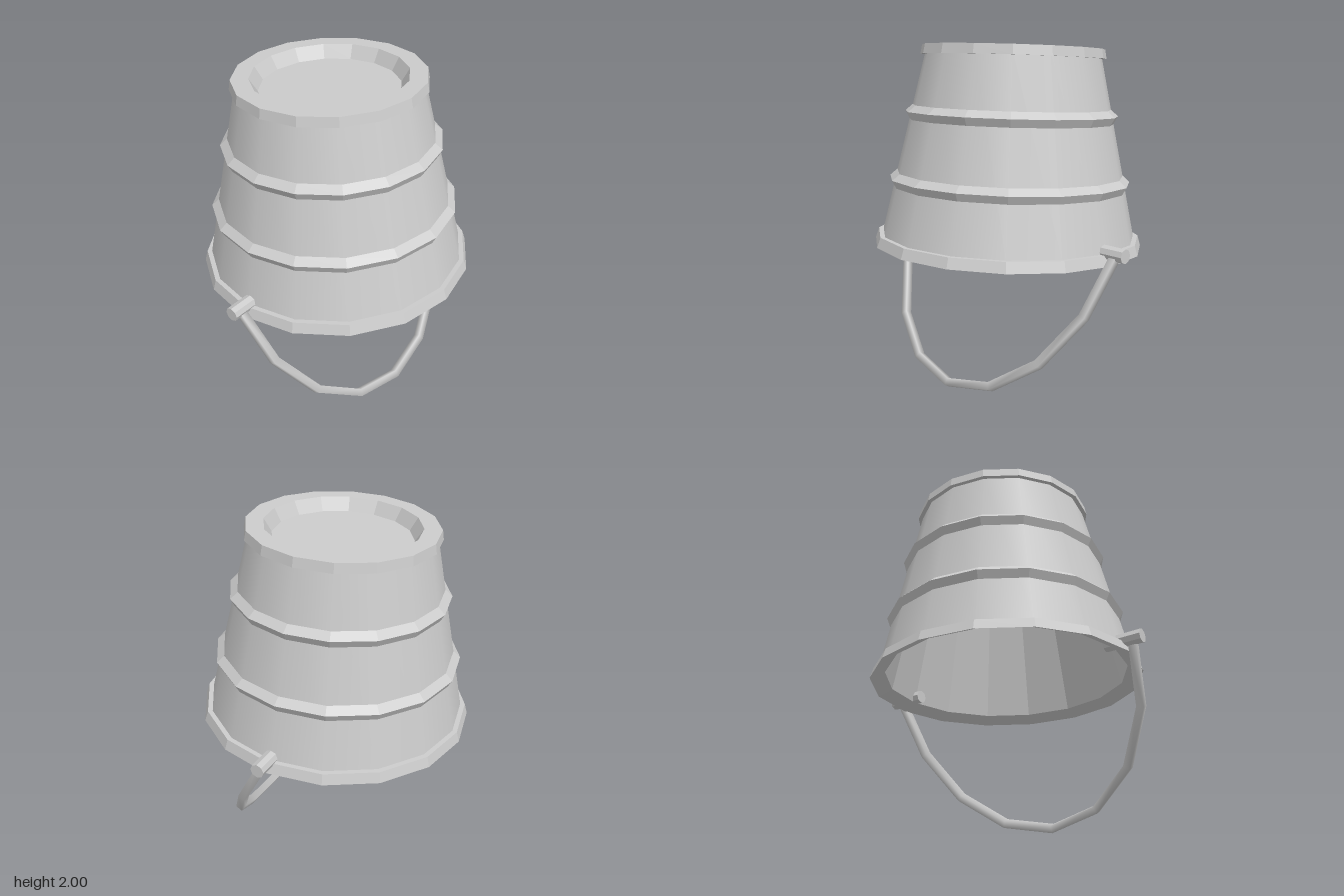
import * as THREE from 'three';
import { mergeVertices } from 'three/addons/utils/BufferGeometryUtils.js';

const SIDES = 16;
const smooth = new THREE.MeshStandardMaterial({ color: 0xcccccc });
const flat = new THREE.MeshStandardMaterial({ color: 0xcccccc, flatShading: true });

// Turned part from [radius, height] pairs: upward runs face out, downward runs face in
function turned(name, profile, faceted = true) {
  let geometry = new THREE.LatheGeometry(profile.map(([r, h]) => new THREE.Vector2(r, h)), SIDES);
  if (faceted) {
    geometry = geometry.toNonIndexed();
    geometry.computeVertexNormals();
  }
  const mesh = new THREE.Mesh(geometry, faceted ? flat : smooth);
  mesh.name = name;
  return mesh;
}

// Half ellipse hanging forward from the pegs, stepped evenly by angle
class HandleCurve extends THREE.Curve {
  getPoint(t, target = new THREE.Vector3()) {
    const a = Math.PI * t;
    return target.set(0.838 * Math.cos(a), 0.882 - 0.85 * Math.sin(a), 0.49 * Math.sin(a));
  }
  getUtoTmapping(u) {
    return u;
  }
}

// Square bar swept along the handle curve, with softened normals
function handleGeometry() {
  const a = 0.022;
  const section = new THREE.Shape([[-a, -a], [a, -a], [a, a], [-a, a]].map(([x, y]) => new THREE.Vector2(x, y)));
  const bar = new THREE.ExtrudeGeometry(section, { steps: 8, extrudePath: new HandleCurve() });
  bar.deleteAttribute('normal');
  bar.deleteAttribute('uv');
  const geometry = mergeVertices(bar);
  geometry.computeVertexNormals();
  return geometry;
}

export function createModel() {
  const model = new THREE.Group();
  model.name = 'upturnedBucket';

  // Bucket, mouth down and leaning slightly back
  const bucket = new THREE.Group();
  bucket.name = 'bucket';
  bucket.position.y = 0.811;
  bucket.rotation.x = -0.041;
  model.add(bucket);

  const bodyRadius = (h) => 0.765 - 0.229 * (h - 0.06);
  bucket.add(turned('wall', [[bodyRadius(0.04), 0.04], [bodyRadius(1.13), 1.13]], false));

  // Ceiling and inner wall
  bucket.add(turned('interior', [[0, 1.05], [0.5, 1.05], [0.725, 0.04]]));

  // Mouth rim with its underside sloping up inward
  bucket.add(turned('mouthRim', [[0.725, 0.04], [0.812, 0], [0.793, 0.06], [0.755, 0.06]]));

  // Base with raised edge and sunken panel
  bucket.add(turned('base', [
    [0.51, 1.113], [0.55, 1.113], [0.54, 1.167], [0.44, 1.167], [0.395, 1.094], [0, 1.094],
  ]));

  // Two hoops around the wall
  for (const [name, h] of [['lowerHoop', 0.388], ['upperHoop', 0.78]]) {
    const r = bodyRadius(h);
    bucket.add(turned(name, [[r + 0.011, h - 0.045], [r + 0.035, h], [r - 0.008, h + 0.038]]));
  }

  // Pegs through the wall on both sides
  for (const side of [1, -1]) {
    const geometry = new THREE.CylinderGeometry(0.041, 0.041, 0.225, 8);
    geometry.rotateZ(Math.PI / 2);
    const peg = new THREE.Mesh(geometry, flat);
    peg.name = side > 0 ? 'leftPeg' : 'rightPeg';
    peg.position.set(side * 0.785, 0.882, 0);
    model.add(peg);
  }

  // Carrying handle
  const handle = new THREE.Mesh(handleGeometry(), smooth);
  handle.name = 'handle';
  model.add(handle);

  return model;
}
